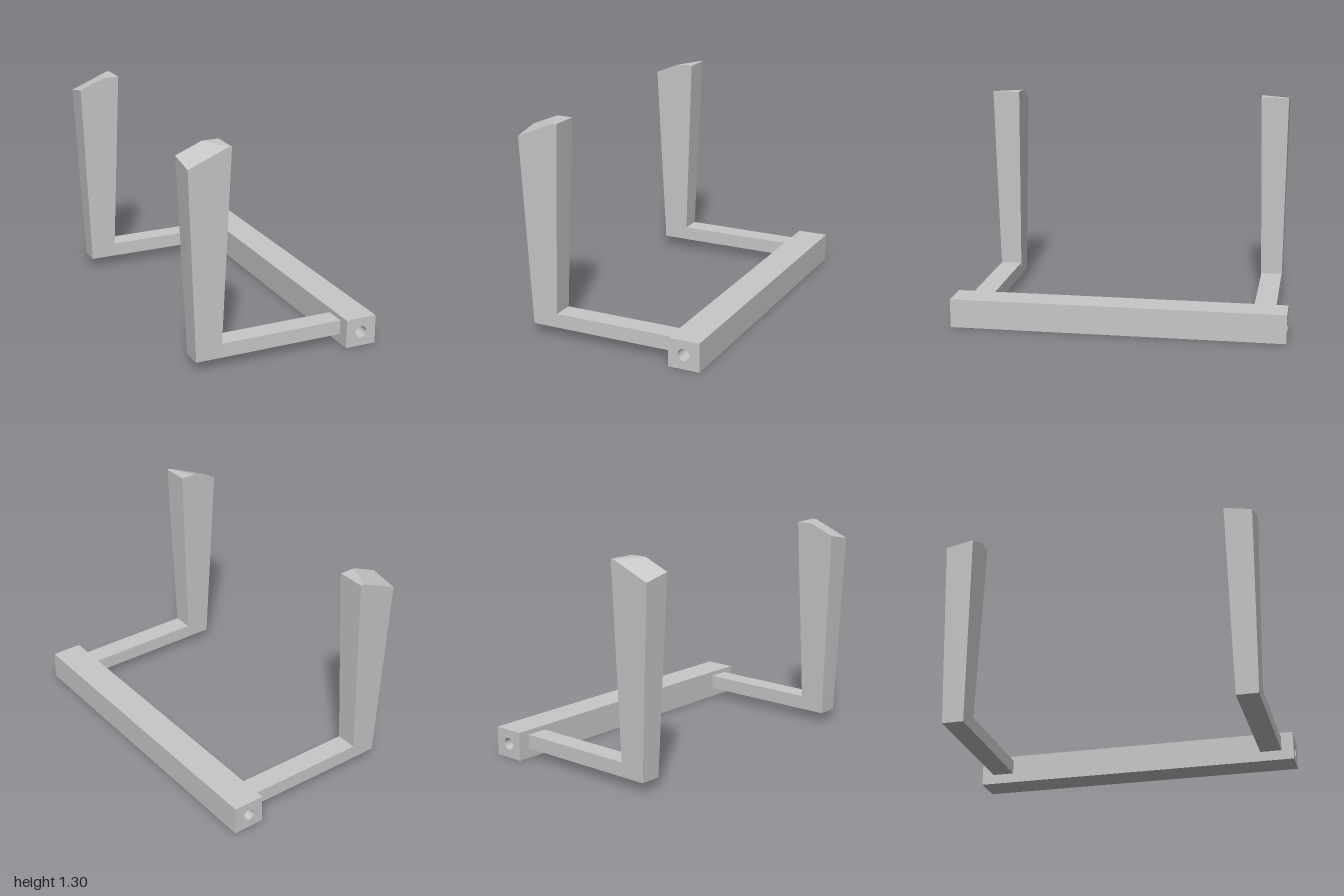
import * as THREE from 'three';

// Tapered post: outer and inner five-point outlines joined into a solid.
// side = 1 puts the outer face at +z, side = -1 mirrors it to -z.
function postGeometry(side) {
  const outer = [[-0.53, 0.06, 0.926], [-0.376, 0.06, 0.926], [-0.325, 1.296, 0.945], [-0.35, 1.294, 0.945], [-0.582, 1.198, 0.944]];
  const inner = [[-0.53, 0.06, 0.796], [-0.376, 0.06, 0.796], [-0.325, 1.296, 0.775], [-0.425, 1.296, 0.775], [-0.582, 1.232, 0.776]];
  const pos = [];
  const tri = (a, b, c) => {
    for (const p of side > 0 ? [a, b, c] : [a, c, b]) pos.push(p[0], p[1], p[2] * side);
  };
  const n = outer.length;
  // end faces
  for (let i = 1; i < n - 1; i++) {
    tri(outer[0], outer[i], outer[i + 1]);
    tri(inner[0], inner[i + 1], inner[i]);
  }
  // sides, bottom and sloped top
  for (let i = 0; i < n; i++) {
    const j = (i + 1) % n;
    tri(outer[i], inner[i], inner[j]);
    tri(outer[i], inner[j], outer[j]);
  }
  const g = new THREE.BufferGeometry();
  g.setAttribute('position', new THREE.Float32BufferAttribute(pos, 3));
  g.computeVertexNormals();
  return g;
}

export function createModel() {
  const model = new THREE.Group();
  model.name = 'bracket';
  const grey = new THREE.MeshStandardMaterial({ color: 0xc8c8c8 });
  grey.name = 'lightGrey';

  const add = (name, geometry, parent = model) => {
    const mesh = new THREE.Mesh(geometry, grey);
    mesh.name = name;
    parent.add(mesh);
    return mesh;
  };

  // Square beam with a round bore along its length
  const section = new THREE.Shape();
  section.moveTo(0.388, 0).lineTo(0.58, 0).lineTo(0.58, 0.174).lineTo(0.388, 0.174).closePath();
  const bore = new THREE.Path();
  bore.absarc(0.484, 0.087, 0.036, 0, Math.PI * 2, true);
  section.holes.push(bore);
  const beam = new THREE.ExtrudeGeometry(section, { depth: 2, bevelEnabled: false, curveSegments: 24 });
  beam.translate(0, 0, -1);
  add('beam', beam);

  // An arm and an upright post near each end of the beam
  for (const side of [1, -1]) {
    const support = new THREE.Group();
    support.name = side > 0 ? 'frontSupport' : 'backSupport';
    model.add(support);
    add('arm', new THREE.BoxGeometry(0.766, 0.086, 0.13), support).position.set(0.006, 0.103, 0.861 * side);
    add('post', postGeometry(side), support);
  }
  return model;
}
